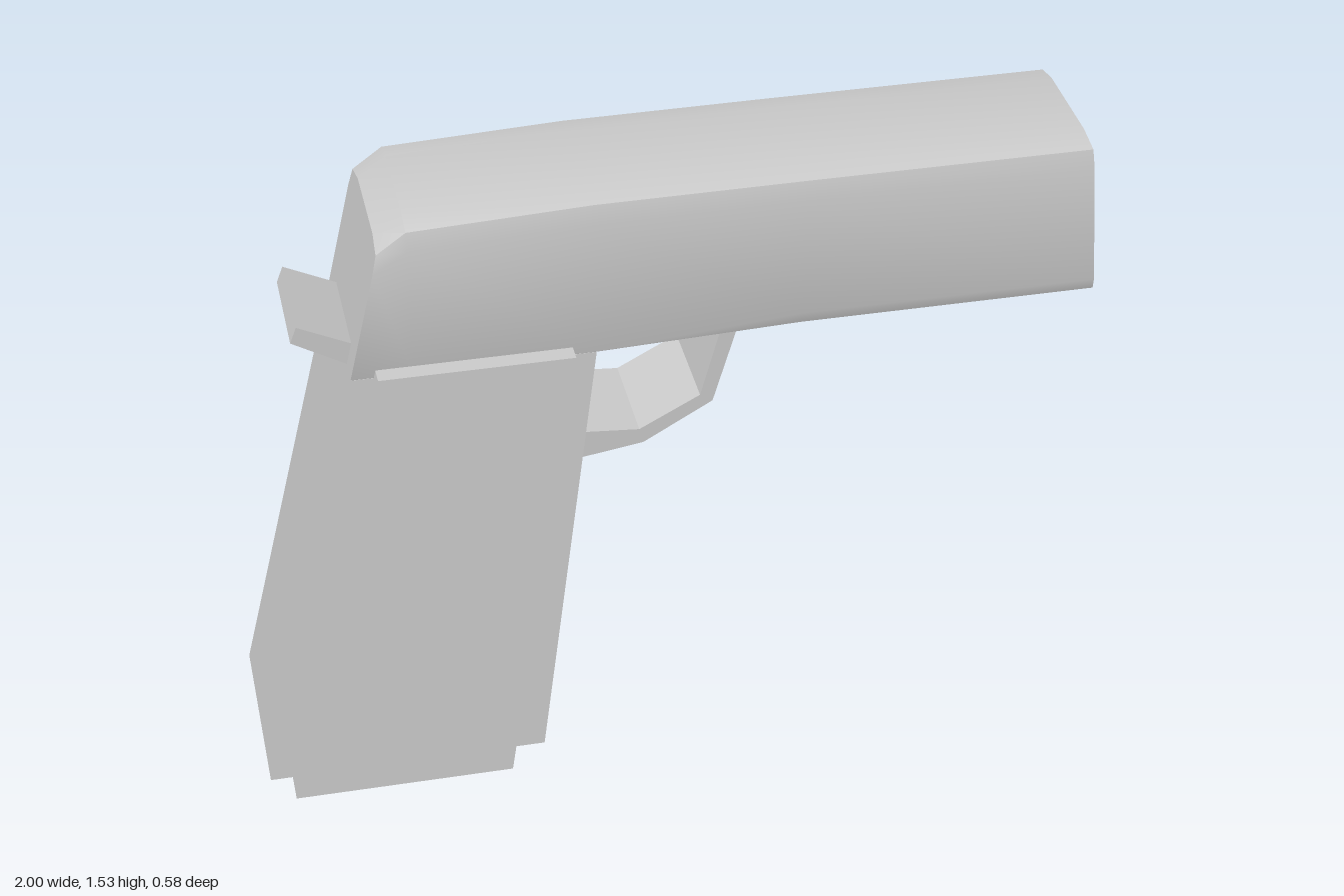
import * as THREE from 'three';
import { toCreasedNormals } from 'three/addons/utils/BufferGeometryUtils.js';

const material = new THREE.MeshStandardMaterial({ color: 0xcccccc });

function addMesh(group, name, geometry) {
  const mesh = new THREE.Mesh(geometry, material);
  mesh.name = name;
  group.add(mesh);
}

// Skins a list of equal-length rings of [x, y, z] points and caps both ends.
function loft(rings, crease = 0.6) {
  const n = rings[0].length;
  const index = [];
  for (let i = 0; i < rings.length - 1; i++) {
    for (let j = 0; j < n; j++) {
      const k = (j + 1) % n;
      const a = i * n + j, b = i * n + k;
      index.push(a, b, b + n, a, b + n, a + n);
    }
  }
  const last = (rings.length - 1) * n;
  for (let j = 1; j < n - 1; j++) {
    index.push(0, j + 1, j, last, last + j, last + j + 1);
  }
  const geometry = new THREE.BufferGeometry();
  geometry.setAttribute('position', new THREE.Float32BufferAttribute(rings.flat(2), 3));
  geometry.setIndex(index);
  return toCreasedNormals(geometry, crease);
}

// Mirrors a half outline of [z, y] and leans it from xTop to xBottom.
function ring(half, xTop, xBottom, zShift = 0, top = half[0][1], bottom = half.at(-1)[1]) {
  const mirrored = half.slice().reverse().map(([z, y]) => [-z, y]);
  return [...half, ...mirrored].map(([z, y]) => [
    xTop + (xBottom - xTop) * (top - y) / (top - bottom), y, z + zShift,
  ]);
}

// Barrel outline; round sets how far the lower corners are cut.
function barrelRing(xTop, xBottom, top, round) {
  const bottom = 1.13;
  return ring([
    [0.12, top], [0.19, top - 0.015], [0.2, top - 0.06],
    [0.2, bottom + 0.04 * round], [0.2 - 0.01 * round, bottom + 0.01 * round],
    [0.2 - 0.08 * round, bottom],
  ], xTop, xBottom);
}

// Square bore outline, with as many points as the barrel outline.
function boreRing(xTop, xBottom, top) {
  const half = [[0.09, top], [0.13, top], [0.13, top - 0.03], [0.13, 1.22], [0.13, 1.19], [0.09, 1.19]];
  return ring(half, xTop, xBottom, 0.01, 1.53, 1.13);
}

// Four-cornered horizontal ring.
function slab(y, xBack, xFront, z) {
  return [[xFront, y, z], [xFront, y, -z], [xBack, y, -z], [xBack, y, z]];
}

// Side outline extruded across the width.
function sideExtrude(points, depth, z) {
  const shape = new THREE.Shape(points.map(([x, y]) => new THREE.Vector2(x, y)));
  return new THREE.ExtrudeGeometry(shape, { depth, bevelEnabled: false }).translate(0, 0, z);
}

export function createModel() {
  const group = new THREE.Group();
  group.name = 'model';

  // Barrel, continuing round the front rim into the hollow bore
  addMesh(group, 'barrel', loft([
    barrelRing(-0.665, -0.742, 1.46, 0.04),
    barrelRing(-0.6, -0.6, 1.51, 0.04),
    barrelRing(-0.18, -0.18, 1.528, 0.04),
    barrelRing(0.3, 0.3, 1.53, 1),
    barrelRing(0.97, 1, 1.53, 1),
    boreRing(0.97, 1, 1.46),
    boreRing(0.1, 0.1, 1.445),
  ]));

  // Grip frame, widening towards the foot
  addMesh(group, 'gripFrame', loft([
    slab(0.03, -1, -0.33, 0.243),
    slab(1.13, -0.742, -0.18, 0.2),
  ]));

  // Raised grip panels on both sides, joined under the foot
  addMesh(group, 'gripPanels', loft([
    slab(0, -0.945, -0.417, 0.288),
    slab(1.15, -0.685, -0.235, 0.243),
  ]));

  // Bent trigger guard
  addMesh(group, 'triggerGuard', sideExtrude([
    [-0.225, 0.795], [-0.06, 0.82], [0.105, 0.915], [0.17, 1.14],
    [0.13, 1.14], [0.075, 0.935], [-0.07, 0.858], [-0.215, 0.87],
  ], 0.26, -0.12));

  // Hammer at the back
  addMesh(group, 'hammer', sideExtrude([
    [-0.865, 1.205], [-0.72, 1.12], [-0.7, 1.173], [-0.85, 1.245],
  ], 0.26, -0.125));

  return group;
}
